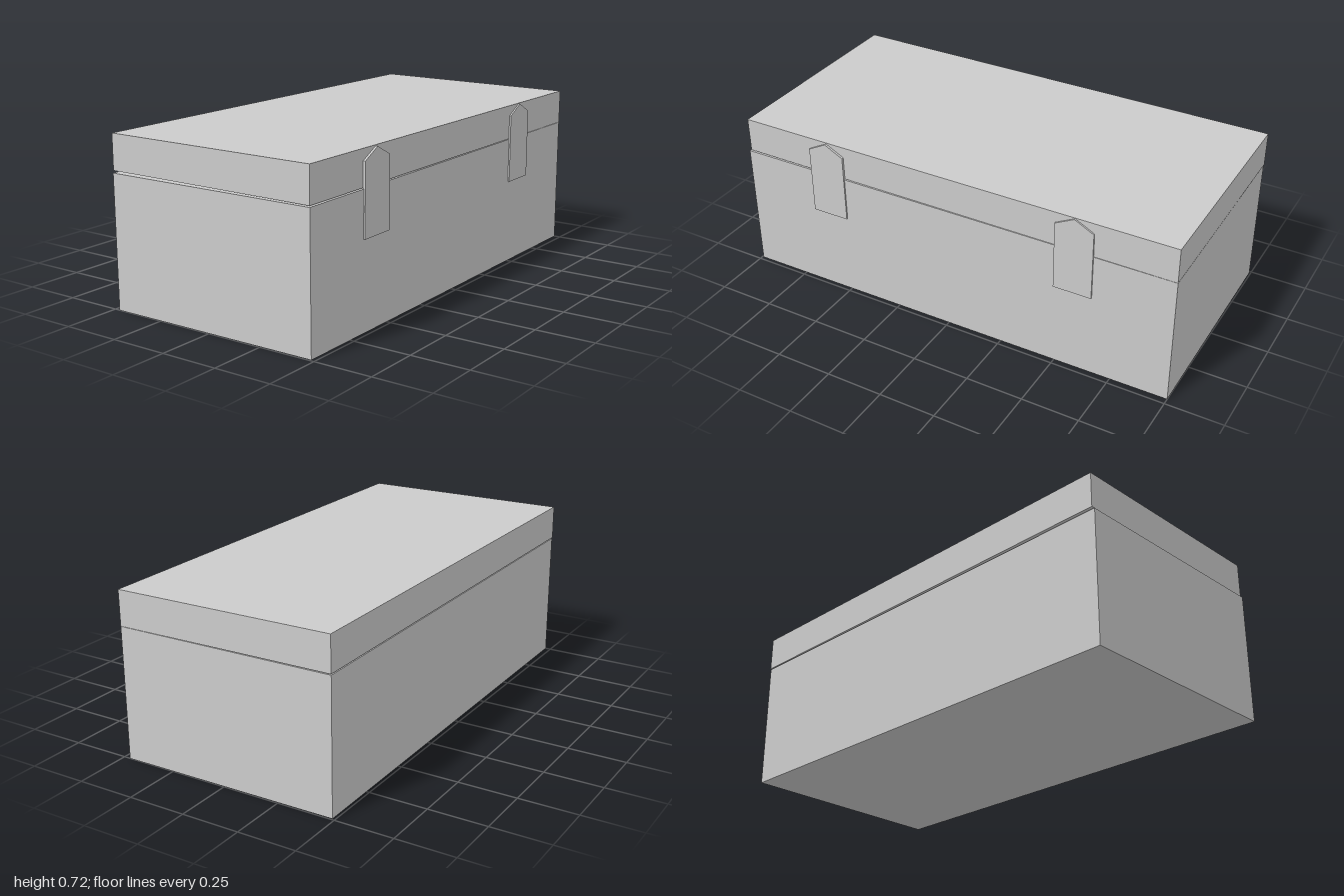
import * as THREE from 'three';

export function createModel() {
  const model = new THREE.Group();
  const material = new THREE.MeshStandardMaterial({ color: 0xcccccc, flatShading: true });

  function add(parent, name, geometry, x, y, z) {
    const mesh = new THREE.Mesh(geometry, material);
    mesh.name = name;
    mesh.position.set(x, y, z);
    parent.add(mesh);
    return mesh;
  }

  // Chest body with its latches, turned very slightly about the vertical
  const body = new THREE.Group();
  body.name = 'body';
  body.position.x = -0.0025;
  body.rotation.y = 0.0065;
  model.add(body);
  add(body, 'base', new THREE.BoxGeometry(0.96, 0.566, 1.994), 0, 0.283, 0);

  // Lid, resting a little askew with a narrow gap above the base
  const lid = add(model, 'lid', new THREE.BoxGeometry(0.961, 0.15, 1.988), -0.005, 0.6455, -0.004);
  lid.rotation.set(-0.0015, 0.004, -0.004);

  // Pointed latch plates on the left side
  const outline = new THREE.Shape([
    [-0.083, 0.372], [0.083, 0.372], [0.083, 0.672], [0, 0.715], [-0.083, 0.672],
  ].map(([x, y]) => new THREE.Vector2(x, y)));
  const plate = new THREE.ExtrudeGeometry(outline, { depth: 0.0107, bevelEnabled: false });
  plate.rotateY(Math.PI / 2);
  add(body, 'frontLatch', plate, 0.476, 0, 0.58);
  add(body, 'backLatch', plate, 0.476, 0, -0.57);

  return model;
}
